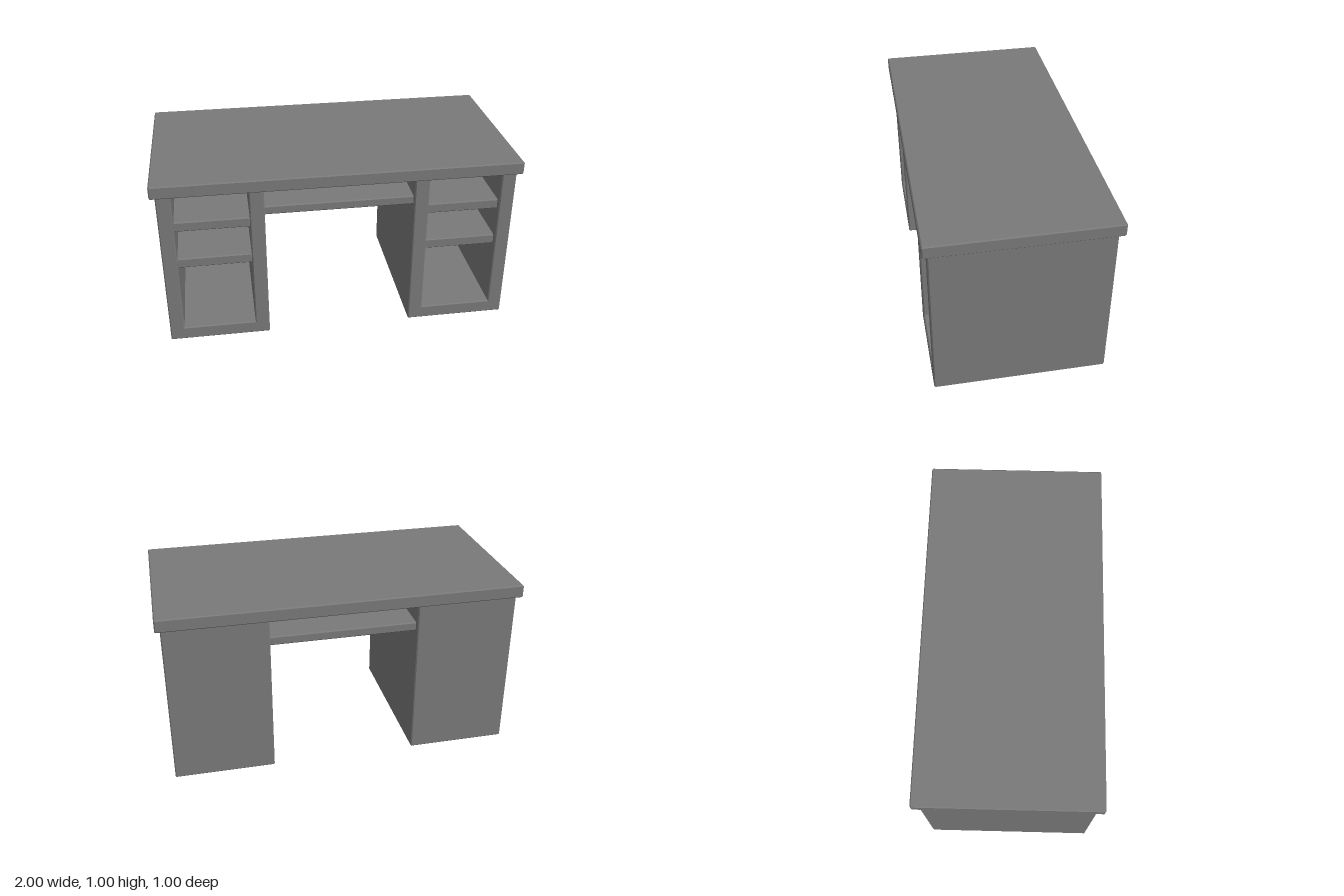
import * as THREE from 'three';

const material = new THREE.MeshStandardMaterial({ color: 0x797979, flatShading: true });
const BEVEL = 0.006;

// Extrude an outline in the xy plane from z0 to z1, with chamfered ends
function slab(name, points, z0, z1) {
  const shape = new THREE.Shape(points.map(([x, y]) => new THREE.Vector2(x, y)));
  const geometry = new THREE.ExtrudeGeometry(shape, {
    depth: z1 - z0 - 2 * BEVEL, bevelEnabled: true, bevelSegments: 1,
    bevelThickness: BEVEL, bevelSize: BEVEL, bevelOffset: -BEVEL,
  });
  geometry.translate(0, 0, z0 + BEVEL);
  const mesh = new THREE.Mesh(geometry, material);
  mesh.name = name;
  return mesh;
}

// Rectangle with chamfered corners
function rect(x0, x1, y0, y1) {
  const c = BEVEL;
  return [
    [x0 + c, y0], [x1 - c, y0], [x1, y0 + c], [x1, y1 - c],
    [x1 - c, y1], [x0 + c, y1], [x0, y1 - c], [x0, y0 + c],
  ];
}

// Open-fronted pedestal with two shelves, centred on its own x axis
function pedestal(name) {
  const group = new THREE.Group();
  group.name = name;
  const w = 0.282, inner = 0.202, top = 0.94, floor = 0.078, c = BEVEL;

  // Side walls and floor as one U-shaped carcass
  group.add(slab('carcass', [
    [-w + c, 0], [w - c, 0], [w, c], [w, top], [inner, top],
    [inner, floor], [-inner, floor], [-inner, top], [-w, top], [-w, c],
  ], -0.45, 0.473));
  group.add(slab('backPanel', rect(-w, w, 0, top), -0.473, -0.4));

  for (const y of [0.462, 0.692]) {
    group.add(slab('shelf', rect(-inner - 0.01, inner + 0.01, y, y + 0.058), -0.42, 0.44));
  }
  return group;
}

export function createModel() {
  const desk = new THREE.Group();
  desk.name = 'desk';

  desk.add(slab('desktop', rect(-1, 1, 0.928, 1), -0.5, 0.5));

  for (const side of [-1, 1]) {
    const unit = pedestal(side > 0 ? 'leftPedestal' : 'rightPedestal');
    unit.position.x = side * 0.691;
    desk.add(unit);
  }

  // Shelf bridging the knee space
  desk.add(slab('kneeShelf', rect(-0.43, 0.43, 0.759, 0.81), -0.44, 0.44));
  return desk;
}
